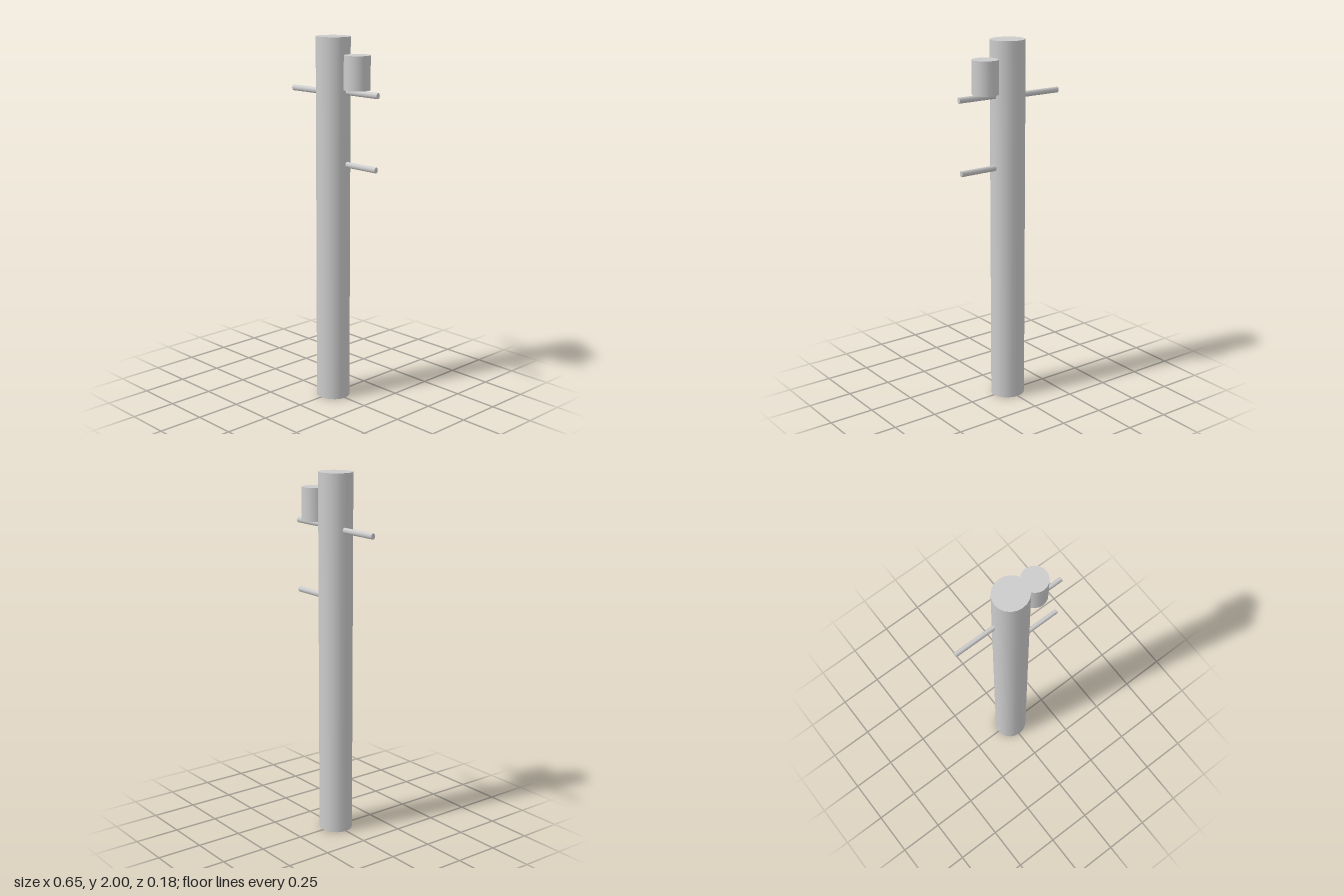
import * as THREE from 'three';

export function createModel() {
  const model = new THREE.Group();
  const material = new THREE.MeshStandardMaterial({ color: 0xcccccc });

  function add(name, geometry, x, y, z) {
    const mesh = new THREE.Mesh(geometry, material);
    mesh.name = name;
    mesh.position.set(x, y, z);
    model.add(mesh);
    return mesh;
  }

  // Slightly oval upright pole
  add('pole', new THREE.CylinderGeometry(0.095, 0.095, 2, 20), 0.003, 1, 0).scale.z = 0.955;

  // Canister hung beside the pole, resting on the upper left rod
  add('canister', new THREE.CylinderGeometry(0.0705, 0.0705, 0.18, 20), 0.161, 1.82, -0.021);

  // Thin side rods, set into the pole: name, inner x, outer x, height
  const rods = [
    ['rightRod', -0.06, -0.324, 1.703],
    ['upperLeftRod', 0.06, 0.322, 1.714],
    ['lowerLeftRod', 0.06, 0.313, 1.327],
  ];
  for (const [name, inner, outer, y] of rods) {
    const geometry = new THREE.CylinderGeometry(1, 1, Math.abs(outer - inner), 16);
    geometry.rotateZ(Math.PI / 2);
    geometry.scale(1, 0.016, 0.012);
    add(name, geometry, (inner + outer) / 2, y, -0.012);
  }

  return model;
}
